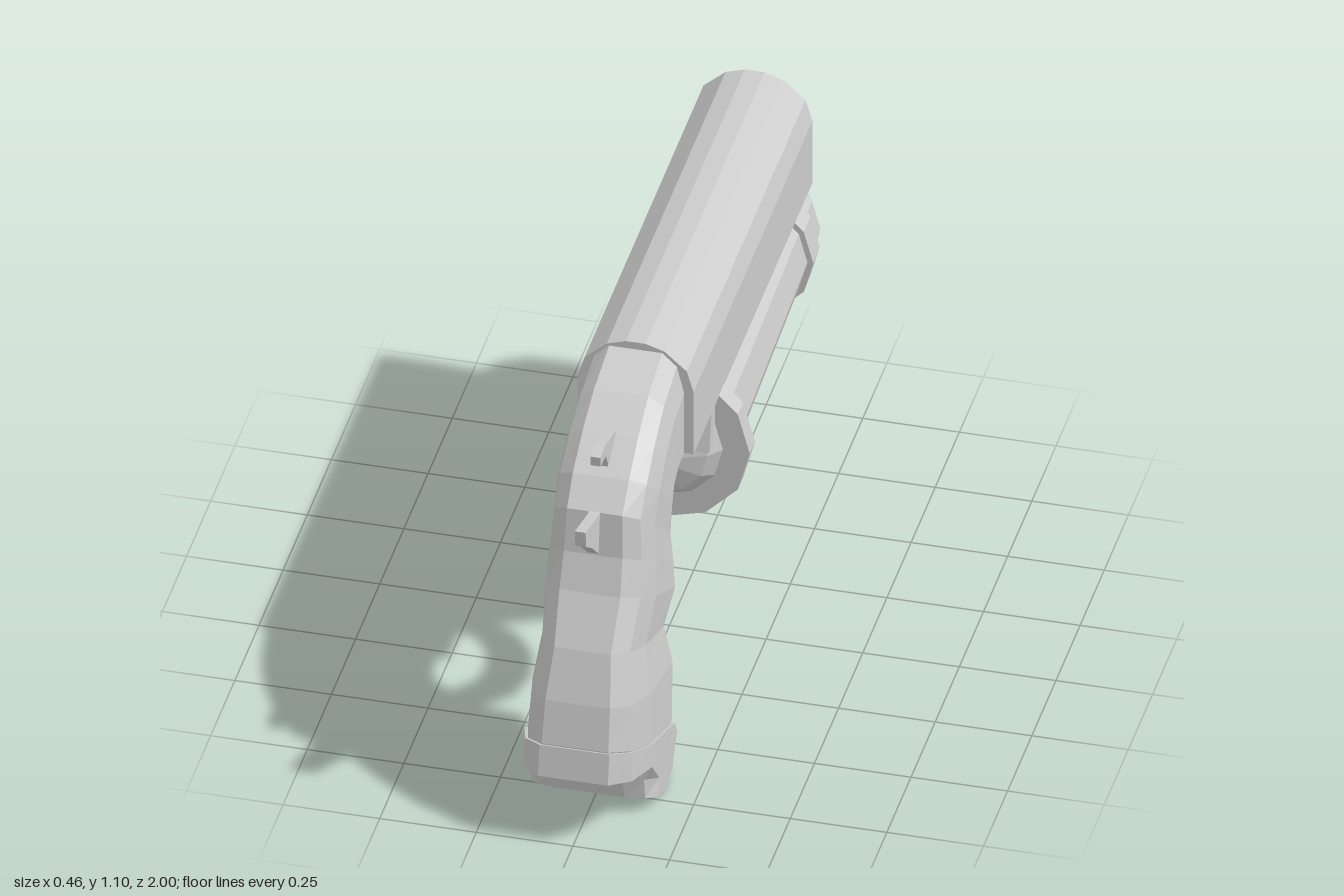
import * as THREE from 'three';

const material = new THREE.MeshStandardMaterial({ color: 0xcccccc, flatShading: true, side: THREE.DoubleSide });

function add(group, name, geometry, x = 0, y = 0, z = 0) {
  const mesh = new THREE.Mesh(geometry, material);
  mesh.name = name;
  mesh.position.set(x, y, z);
  group.add(mesh);
  return mesh;
}

// Solid of revolution along z, from [radius, z] pairs
function turned(profile) {
  return new THREE.LatheGeometry(profile.map(([r, z]) => new THREE.Vector2(r, z)), 12).rotateX(Math.PI / 2);
}

// Side outline in [z, y], given a thickness across x
function sidePlate(shape, width) {
  return new THREE.ExtrudeGeometry(shape, { depth: width, bevelEnabled: false })
    .translate(0, 0, -width / 2).rotateY(-Math.PI / 2);
}

const toShape = (pts) => new THREE.Shape(pts.map(([a, b]) => new THREE.Vector2(a, b)));

function polygon(radius, sides) {
  const pts = [];
  for (let i = 0; i < sides; i++) {
    const a = (i / sides) * Math.PI * 2;
    pts.push([radius * Math.cos(a), radius * Math.sin(a)]);
  }
  return pts;
}

// Rounded-back section: [share of half width, position from inner to outer edge]
const section = [[1, 0], [1, 0.3], [1, 0.62], [0.85, 0.88], [0.55, 1],
  [-0.55, 1], [-0.85, 0.88], [-1, 0.62], [-1, 0.3], [-1, 0]];

// Loft through rows of [innerZ, innerY, outerZ, outerY, halfWidth, dip]
function loft(rows) {
  const positions = [], index = [], n = section.length;
  rows.forEach(([iz, iy, oz, oy, w, dip = 0]) => section.forEach(([sx, u]) => {
    const drop = u === 0.3 ? dip : 0;
    positions.push(sx * w, iy + (oy - iy) * u - drop, iz + (oz - iz) * u);
  }));
  for (let i = 0; i < rows.length - 1; i++) {
    for (let j = 0; j < n; j++) {
      const a = i * n + j, b = i * n + (j + 1) % n;
      index.push(a, b, b + n, a, b + n, a + n);
    }
  }
  const last = (rows.length - 1) * n;
  for (let j = 1; j < n - 1; j++) {
    index.push(0, j + 1, j, last, last + j, last + j + 1);
  }
  const geometry = new THREE.BufferGeometry();
  geometry.setAttribute('position', new THREE.Float32BufferAttribute(positions, 3));
  geometry.setIndex(index);
  geometry.computeVertexNormals();
  return geometry;
}

// Arched barrel section with a flat underside
function arch(w, bottom, top) {
  const half = [[1, 0], [1, 0.6], [0.88, 0.79], [0.5, 0.95]];
  const right = half.map(([x, t]) => [x * w, bottom + (top - bottom) * t]);
  const left = right.map(([x, y]) => [-x, y]).reverse();
  return [...right, [0.17 * w, top], [-0.17 * w, top], ...left];
}

export function createModel() {
  const group = new THREE.Group();

  // Hollow barrel
  const barrel = toShape(arch(0.15, 0.785, 1.102));
  barrel.holes.push(toShape(arch(0.108, 0.825, 1.06)));
  add(group, 'barrel', new THREE.ExtrudeGeometry(barrel, { depth: 1.23, bevelEnabled: false }), 0, 0, -0.88);

  // Canister under the barrel, domed at both ends
  add(group, 'canister', turned([
    [0, -1], [0.05, -1], [0.1, -0.985], [0.14, -0.955], [0.163, -0.91], [0.165, -0.84],
    [0.185, 0.04], [0.165, 0.085], [0.13, 0.125], [0.07, 0.15], [0, 0.15],
  ]), 0, 0.625, 0);
  add(group, 'frontBand', turned([
    [0.15, -0.835], [0.18, -0.835], [0.182, -0.76], [0.15, -0.76],
  ]), 0, 0.625, 0);
  add(group, 'rearFlange', turned([
    [0.15, 0.035], [0.23, 0.035], [0.23, 0.09], [0.15, 0.09],
  ]), 0, 0.625, 0);

  // Bracket joining canister, guard and barrel
  add(group, 'bracket', sidePlate(toShape([[0.07, 0.8], [0.07, 0.65], [0.15, 0.65], [0.115, 0.8]]), 0.28));

  // Ring-shaped trigger guard
  const guard = toShape(polygon(0.19, 12));
  guard.holes.push(toShape(polygon(0.133, 12)));
  add(group, 'triggerGuard', sidePlate(guard, 0.07), 0, 0.573, 0.333);

  // Curved grip
  add(group, 'grip', loft([
    [0.34, 0.79, 0.34, 1.083, 0.125],
    [0.42, 0.785, 0.5, 1.05, 0.127],
    [0.47, 0.77, 0.61, 1.0, 0.13],
    [0.5, 0.73, 0.71, 0.935, 0.132],
    [0.51, 0.65, 0.775, 0.87, 0.13],
    [0.515, 0.58, 0.79, 0.75, 0.138],
    [0.515, 0.49, 0.825, 0.655, 0.143],
    [0.59, 0.42, 0.9, 0.53, 0.133],
    [0.575, 0.3, 0.95, 0.4, 0.152],
    [0.605, 0.14, 0.978, 0.285, 0.157],
    [0.65, 0.07, 0.94, 0.2, 0.15],
  ]));

  // Flared butt cap
  add(group, 'buttCap', loft([
    [0.6, 0.135, 0.985, 0.285, 0.164, 0.075],
    [0.58, 0.1, 1.0, 0.2, 0.165, 0.02],
    [0.63, 0.015, 0.85, 0.12, 0.165, 0.015],
    [0.7, 0, 0.83, 0.05, 0.165],
  ]));

  // Two thin spurs on the back
  add(group, 'upperSpur', sidePlate(toShape([
    [0.6, 0.99], [0.61, 1.01], [0.72, 1.038], [0.768, 1.033], [0.765, 1.005], [0.71, 1.0], [0.688, 0.96], [0.68, 0.93],
  ]), 0.026));
  add(group, 'lowerSpur', sidePlate(toShape([
    [0.75, 0.87], [0.79, 0.872], [0.925, 0.91], [0.918, 0.862], [0.86, 0.82], [0.79, 0.755], [0.76, 0.76],
  ]), 0.028));

  return group;
}
